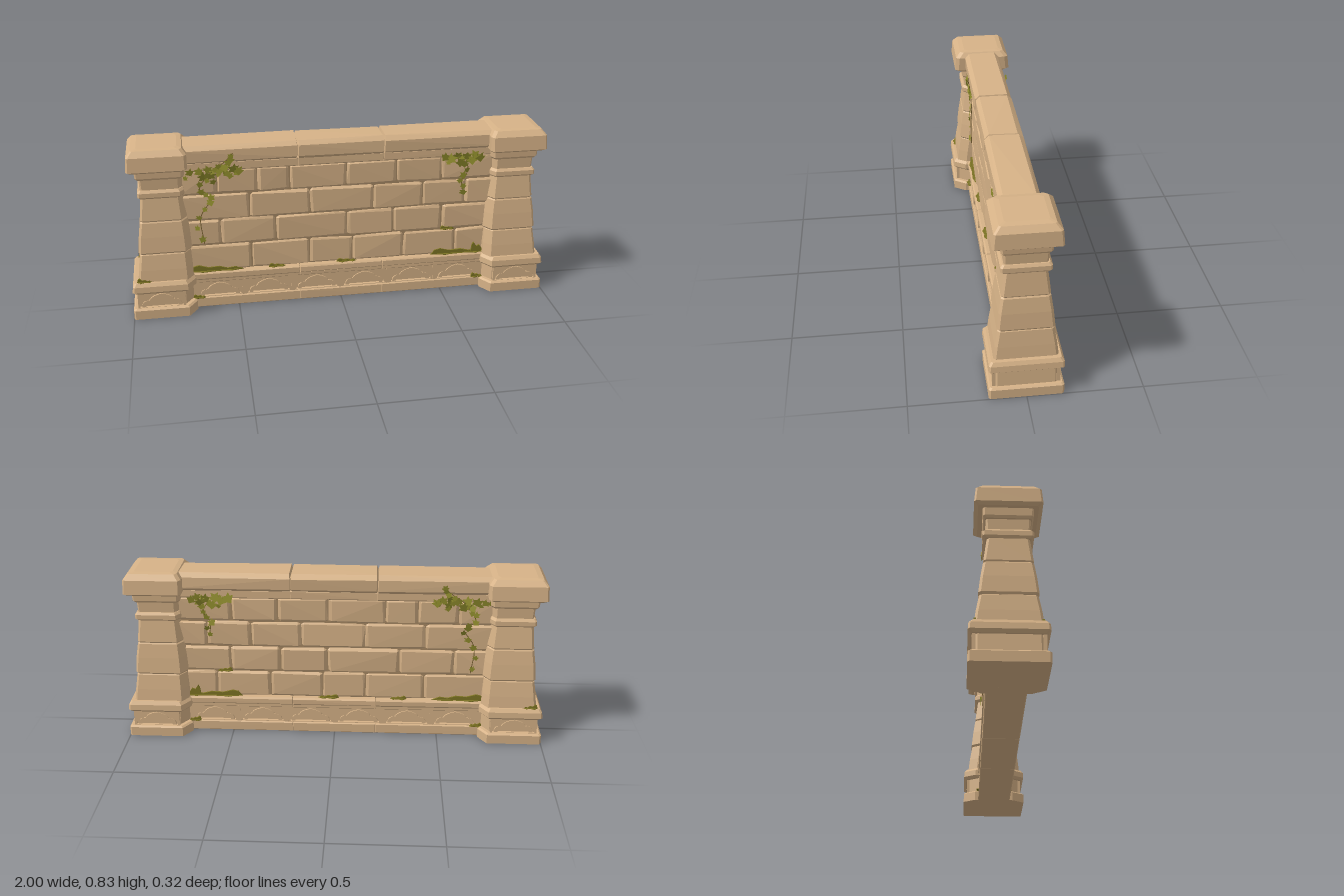
import * as THREE from 'three';
import { ConvexGeometry } from 'three/addons/geometries/ConvexGeometry.js';

const mat = (name, color, extra = {}) => Object.assign(new THREE.MeshStandardMaterial({ color, ...extra }), { name });

let seed = 7;
const rand = () => (seed = (seed * 16807) % 2147483647) / 2147483647;
const jitter = (a) => (rand() - 0.5) * 2 * a;

// Stone block with cut edges and slightly uneven corners; cuts are per axis
function block(x0, x1, y0, y1, z, cuts, rough) {
  const pts = [];
  const c = [(x0 + x1) / 2, (y0 + y1) / 2, 0];
  const h = [(x1 - x0) / 2, (y1 - y0) / 2, z];
  for (const sx of [-1, 1]) for (const sy of [-1, 1]) for (const sz of [-1, 1])
    for (let full = 0; full < 3; full++) {
      const p = [sx, sy, sz].map((s, i) => c[i] + s * (h[i] - (i === full ? 0 : cuts[i])) + jitter(rough));
      pts.push(new THREE.Vector3(...p));
    }
  return new ConvexGeometry(pts);
}

// Pillar layer: each ring is [y, outer x, inner x, half depth], inner corners cut off
function pillarLayer(side, rings, cut = 0.03, bevel = 0.008) {
  const pts = [];
  for (const [y, xo, xi, z] of rings) for (const s of [-1, 1])
    for (const [x, d] of [[xo, z - bevel], [xo - bevel, z], [xi + cut, z], [xi, z - cut * 1.5]])
      pts.push(new THREE.Vector3(side * x, y, s * d));
  return new ConvexGeometry(pts);
}

const polygon = (pts) => new THREE.Shape(pts.map((p) => new THREE.Vector2(...p)));

// Cusped arch outline standing on y = 0.053
function archPath(path, cx, k = 1) {
  const X = (x) => cx + x * k, Y = (y) => 0.053 + (y - 0.053) * k;
  path.moveTo(X(-0.102), Y(0.053));
  path.quadraticCurveTo(X(-0.1), Y(0.09), X(-0.062), Y(0.09));
  path.quadraticCurveTo(X(-0.05), Y(0.116), X(0), Y(0.125));
  path.quadraticCurveTo(X(0.05), Y(0.116), X(0.062), Y(0.09));
  path.quadraticCurveTo(X(0.1), Y(0.09), X(0.102), Y(0.053));
  path.closePath();
  return path;
}

function extrude(shape, depth) {
  return new THREE.ExtrudeGeometry(shape, { depth, bevelEnabled: false, curveSegments: 5 });
}

export function createModel() {
  const model = new THREE.Group();
  model.name = 'ruinedWall';
  const stone = mat('sandstone', 0xd6b287);
  const mortar = mat('mortar', 0xa88a64);
  const moss = mat('moss', 0x7d7424);
  const ivy = mat('ivy', 0x8f8c2c, { side: THREE.DoubleSide });
  const stem = mat('stem', 0x7a6232);
  const add = (name, geo, m = stone, parent = model) => {
    const mesh = new THREE.Mesh(geo, m);
    mesh.name = name;
    parent.add(mesh);
    return mesh;
  };
  const group = (name) => {
    const g = new THREE.Group();
    g.name = name;
    model.add(g);
    return g;
  };

  // Masonry courses over a mortar core
  const core = add('mortarCore', new THREE.BoxGeometry(1.5, 0.56, 0.104), mortar);
  core.position.y = 0.455;
  const bricks = group('bricks');
  const courses = [
    [0.18, 0.315, [-0.76, -0.43, -0.15, 0.06, 0.31, 0.57, 0.76]],
    [0.317, 0.445, [-0.76, -0.57, -0.31, 0.035, 0.26, 0.5, 0.76]],
    [0.447, 0.575, [-0.76, -0.43, -0.145, 0.16, 0.4, 0.61, 0.76]],
    [0.577, 0.7, [-0.76, -0.58, -0.39, -0.24, 0.03, 0.27, 0.49, 0.76]],
  ];
  for (const [y0, y1, xs] of courses)
    for (let i = 0; i + 1 < xs.length; i++)
      add('brick', block(xs[i] + 0.002, xs[i + 1] - 0.002, y0 + 0.001, y1 - 0.001, 0.062, [0.012, 0.01, 0.009], 0.0035), stone, bricks);

  // Plinth, ledge, trim and coping in three lengths
  const spans = [[-0.76, -0.2], [-0.2, 0.205], [0.205, 0.76]];
  for (const [a, b] of spans) {
    add('plinth', block(a, b, 0, 0.05, 0.084, [0.002, 0.004, 0.004], 0.0004));
    add('ledgeLower', block(a, b, 0.128, 0.15, 0.078, [0.002, 0.004, 0.004], 0.0004));
    add('ledge', block(a, b, 0.145, 0.183, 0.085, [0.003, 0.007, 0.007], 0.001));
    add('copingTrim', block(a, b, 0.697, 0.742, 0.073, [0.001, 0.006, 0.006], 0.0005));
    add('coping', block(a, b, 0.732, 0.822, 0.088, [0.005, 0.018, 0.022], 0.0025));
  }

  // Blind arcade: pierced face plate, inner arch bands and recessed back
  const arcade = (x0, x1, centers, zBack, zFace) => {
    const face = polygon([[x0, 0.045], [x1, 0.045], [x1, 0.133], [x0, 0.133]]);
    face.holes = centers.map((c) => archPath(new THREE.Path(), c));
    const bands = centers.map((c) => {
      const band = archPath(new THREE.Shape(), c, 0.92);
      band.holes.push(archPath(new THREE.Path(), c, 0.74));
      return band;
    });
    const d = zFace - zBack;
    for (const s of [1, -1]) {
      add('arcadeFace', extrude(face, d)).position.z = s > 0 ? zBack : -zFace;
      add('archBands', extrude(bands, d * 0.65)).position.z = s > 0 ? zBack : -zBack - d * 0.65;
    }
  };
  add('arcadeBack', new THREE.BoxGeometry(1.5, 0.09, 0.12)).position.y = 0.09;
  arcade(-0.74, 0.74, [-0.59, -0.354, -0.118, 0.118, 0.354, 0.59], 0.06, 0.075);
  for (let i = -2; i <= 2; i++)
    add('arcadePost', new THREE.BoxGeometry(0.018, 0.09, 0.156)).position.set(i * 0.236, 0.09, 0);

  // End pillars
  for (const side of [-1, 1]) {
    const layer = (name, rings, cut, bevel) => add(name, pillarLayer(side, rings, cut, bevel));
    layer('pillarPlinth', [[0, 1, 0.7, 0.16], [0.045, 1, 0.7, 0.16], [0.052, 0.992, 0.706, 0.152]], 0.04);
    layer('pillarPanel', [[0.045, 0.982, 0.712, 0.13], [0.135, 0.976, 0.712, 0.13]], 0.04);
    const xs = [side * 0.978, side * 0.755].sort((a, b) => a - b);
    arcade(xs[0], xs[1], [side * 0.867], 0.129, 0.144);
    layer('pillarLedge', [[0.128, 0.985, 0.708, 0.148], [0.14, 0.998, 0.7, 0.16], [0.168, 0.995, 0.7, 0.158], [0.184, 0.985, 0.71, 0.147]], 0.04);
    layer('pillarLowerStone', [[0.18, 0.968, 0.71, 0.137], [0.24, 0.962, 0.712, 0.13], [0.312, 0.952, 0.716, 0.118], [0.32, 0.945, 0.72, 0.112]], 0.03, 0.011);
    layer('pillarMiddleStone', [[0.316, 0.95, 0.714, 0.114], [0.325, 0.956, 0.71, 0.121], [0.4, 0.95, 0.714, 0.113], [0.468, 0.94, 0.72, 0.103], [0.475, 0.934, 0.725, 0.098]], 0.03, 0.011);
    layer('pillarUpperStone', [[0.472, 0.934, 0.725, 0.098], [0.48, 0.939, 0.72, 0.102], [0.6, 0.928, 0.73, 0.087]], 0.03, 0.011);
    layer('pillarRing', [[0.588, 0.932, 0.734, 0.095], [0.597, 0.94, 0.728, 0.105], [0.618, 0.94, 0.728, 0.105], [0.629, 0.932, 0.734, 0.096]], 0.02);
    layer('pillarNeck', [[0.62, 0.926, 0.735, 0.09], [0.69, 0.93, 0.735, 0.094]], 0.02);
    layer('pillarCollar', [[0.68, 0.938, 0.73, 0.097], [0.69, 0.945, 0.724, 0.104], [0.73, 0.948, 0.722, 0.106]], 0.015);
    layer('pillarCap', [[0.724, 0.965, 0.718, 0.125], [0.735, 0.98, 0.708, 0.142], [0.802, 0.976, 0.708, 0.136], [0.827, 0.955, 0.728, 0.113], [0.831, 0.93, 0.75, 0.09]], 0.012);
  }

  // Moss tufts [x, y, half width, height, z] and ivy on both faces
  const leafGeo = new THREE.ShapeGeometry(polygon([[0, -1], [0.5, -0.5], [1, -0.1], [0.5, 0.1], [0.6, 0.7], [0, 0.4],
    [-0.6, 0.7], [-0.5, 0.1], [-1, -0.1], [-0.5, -0.5]]));
  const tufts = [[-0.6, 0.181, 0.13, 0.034, 0.066], [-0.31, 0.181, 0.04, 0.018, 0.066], [0.03, 0.181, 0.05, 0.017, 0.066],
    [0.59, 0.181, 0.14, 0.032, 0.066], [0.695, 0.181, 0.04, 0.055, 0.068], [0.53, 0.317, 0.035, 0.018, 0.065],
    [-0.94, 0.181, 0.035, 0.022, 0.135], [-0.69, 0.048, 0.03, 0.018, 0.08], [0.69, 0.048, 0.03, 0.022, 0.08]];
  const vines = [
    { heads: [[-0.7, 0.7], [-0.66, 0.705], [-0.64, 0.675], [-0.615, 0.71], [-0.6, 0.68], [-0.565, 0.705], [-0.54, 0.72], [-0.53, 0.69], [-0.5, 0.71], [-0.475, 0.7]],
      trail: [[-0.5, 0.785], [-0.54, 0.745], [-0.6, 0.7], [-0.66, 0.6], [-0.61, 0.56], [-0.66, 0.47], [-0.65, 0.33]], leaves: 15 },
    { heads: [[0.5, 0.705], [0.53, 0.695], [0.56, 0.71], [0.575, 0.675], [0.605, 0.7], [0.63, 0.685], [0.645, 0.71], [0.67, 0.695]],
      trail: [[0.54, 0.71], [0.58, 0.69], [0.62, 0.63], [0.59, 0.57], [0.6, 0.5]], leaves: 9 },
  ];
  for (const s of [1, -1]) {
    const growth = group(s > 0 ? 'frontGrowth' : 'backGrowth');
    for (const [x, y, w, h, z] of tufts) {
      const shape = polygon([[-w, 0], [w, 0], [w * 0.7, h * 0.5], [w * 0.4, h * 0.35], [w * 0.1, h * 0.7],
        [-w * 0.3, h * 0.6], [-w * 0.65, h], [-w * 0.85, h * 0.8]]);
      add('moss', extrude(shape, 0.009), moss, growth).position.set(x, y, s > 0 ? z - 0.006 : -z - 0.003);
      // flat patch creeping over the step below
      const rug = polygon([[-w, 0], [w, 0], [w * 0.6, 0.012], [w * 0.1, 0.007], [-w * 0.5, 0.014]]);
      const patch = add('mossPatch', extrude(rug, 0.004), moss, growth);
      patch.rotation.x = s * Math.PI / 2;
      patch.position.set(x, y + (s > 0 ? 0.005 : 0.001), s * z);
    }
    const leaf = (x, y, z, size) => {
      const m = add('ivyLeaf', leafGeo, ivy, growth);
      m.position.set(x, y, s * z);
      m.scale.setScalar(size);
      m.rotation.set(jitter(0.3), jitter(0.3), jitter(0.8));
    };
    for (const { heads, trail, leaves } of vines) {
      const curve = new THREE.CatmullRomCurve3(trail.map(([x, y]) => new THREE.Vector3(x, y, s * (y > 0.73 ? 0.092 : y > 0.69 ? 0.08 : 0.068))));
      add('ivyStem', new THREE.TubeGeometry(curve, 24, 0.002, 4), stem, growth);
      for (const [x, y] of heads) {
        leaf(x, y, 0.08 + rand() * 0.008, 0.022 + rand() * 0.008);
        leaf(x + jitter(0.02), y - 0.012 + jitter(0.02), 0.078 + rand() * 0.006, 0.013 + rand() * 0.006);
      }
      for (let i = 0; i < leaves; i++) {
        const p = curve.getPoint((i + 0.5) / leaves);
        leaf(p.x + jitter(0.018), p.y, Math.abs(p.z) + 0.008, 0.015 + rand() * 0.008);
      }
    }
  }
  return model;
}
